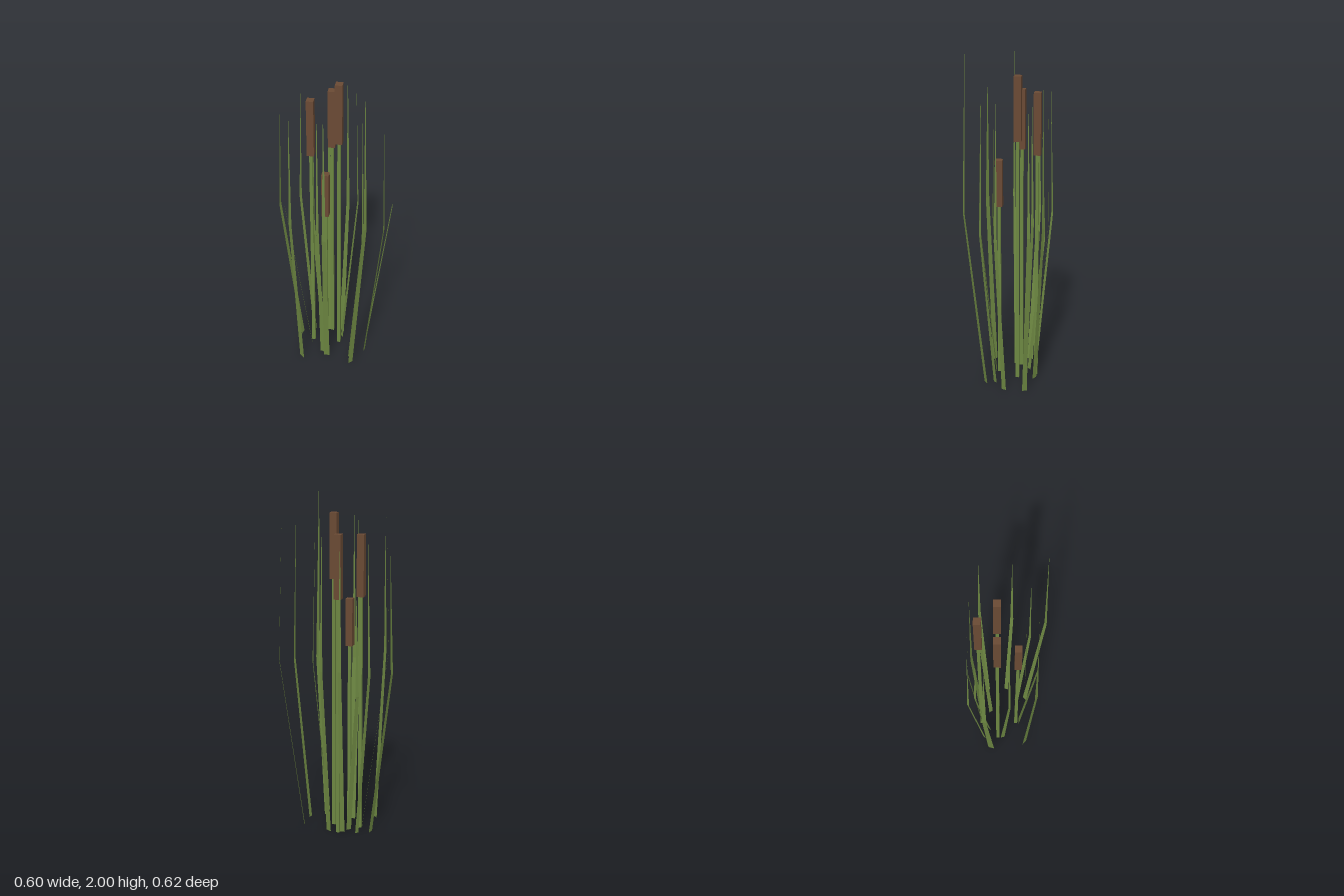
import * as THREE from 'three';

const green = new THREE.MeshStandardMaterial({ color: 0x6c8641, flatShading: true, side: THREE.DoubleSide });
green.name = 'reedGreen';
const brown = new THREE.MeshStandardMaterial({ color: 0x6a4a34, flatShading: true });
brown.name = 'seedHeadBrown';

// Cattails: x, z, bottom and top of the seed head
const CATTAILS = [
  [-0.093, -0.117, 1.35, 1.69],
  [0.047, -0.12, 1.35, 1.70],
  [0.017, -0.01, 1.44, 1.80],
  [-0.102, 0.033, 1.04, 1.31],
];

// Leaves: base x, z, bend x, z, base width, bend width, bend height, tip height
const LEAVES = [
  [0.175, 0.055, 0.293, 0.118, 0.028, 0.016, 0.99, 1.76],
  [0.095, 0.143, 0.148, 0.232, 0.026, 0.018, 0.95, 1.74],
  [-0.005, 0.134, 0.004, 0.234, 0.026, 0.016, 0.94, 1.71],
  [-0.033, 0.18, -0.038, 0.31, 0.03, 0.018, 1.08, 2.0],
  [-0.113, 0.048, -0.175, 0.119, 0.035, 0.022, 0.94, 1.76],
  [-0.115, 0.006, -0.16, 0.035, 0.025, 0.015, 0.97, 1.75],
  [-0.24, -0.027, -0.299, -0.022, 0.037, 0.025, 1.02, 1.76],
  [-0.118, -0.1, -0.24, -0.169, 0.025, 0.013, 1.04, 1.88],
  [-0.118, -0.2, -0.183, -0.307, 0.037, 0.024, 0.95, 1.72],
  [-0.04, -0.182, -0.048, -0.3, 0.022, 0.016, 0.95, 1.68],
  [-0.02, -0.12, -0.018, -0.221, 0.03, 0.02, 0.82, 1.42],
  [0.025, -0.13, 0.072, -0.184, 0.025, 0.02, 0.96, 1.69],
  [0.087, -0.08, 0.139, -0.095, 0.036, 0.022, 0.95, 1.8],
  [0.055, -0.033, 0.149, -0.014, 0.026, 0.016, 0.99, 1.74],
];

// Flat blade leaning outwards to a bend, then back to a point
function leafGeometry([bx, bz, mx, mz, bw, mw, my, ty]) {
  const len = Math.hypot(mx - bx, mz - bz);
  const dx = (mx - bx) / len, dz = (mz - bz) / len;
  const row = (x, y, z, w) => [
    x - dz * w / 2, y, z + dx * w / 2,
    x + dz * w / 2, y, z - dx * w / 2,
  ];
  const back = len * 0.17;
  const g = new THREE.BufferGeometry();
  g.setAttribute('position', new THREE.Float32BufferAttribute([
    ...row(bx, 0, bz, bw),
    ...row(mx, my, mz, mw),
    mx - dx * back, ty, mz - dz * back,
  ], 3));
  g.setIndex([0, 1, 3, 0, 3, 2, 2, 3, 4]);
  const flat = g.toNonIndexed();
  flat.computeVertexNormals();
  return flat;
}

// Four-sided upright prism
function prism(name, x, z, y0, y1, rTop, rBottom, material) {
  const mesh = new THREE.Mesh(new THREE.CylinderGeometry(rTop, rBottom, y1 - y0, 4), material);
  mesh.name = name;
  mesh.position.set(x, (y0 + y1) / 2, z);
  return mesh;
}

export function createModel() {
  const model = new THREE.Group();
  model.name = 'reeds';

  for (const [x, z, y0, y1] of CATTAILS) {
    const cattail = new THREE.Group();
    cattail.name = 'cattail';
    cattail.add(prism('stem', x, z, 0, y0 + 0.02, 0.012, 0.014, green));
    cattail.add(prism('seedHead', x, z, y0, y1, 0.028, 0.028, brown));
    model.add(cattail);
  }

  for (const data of LEAVES) {
    const leaf = new THREE.Mesh(leafGeometry(data), green);
    leaf.name = 'leaf';
    model.add(leaf);
  }
  return model;
}
